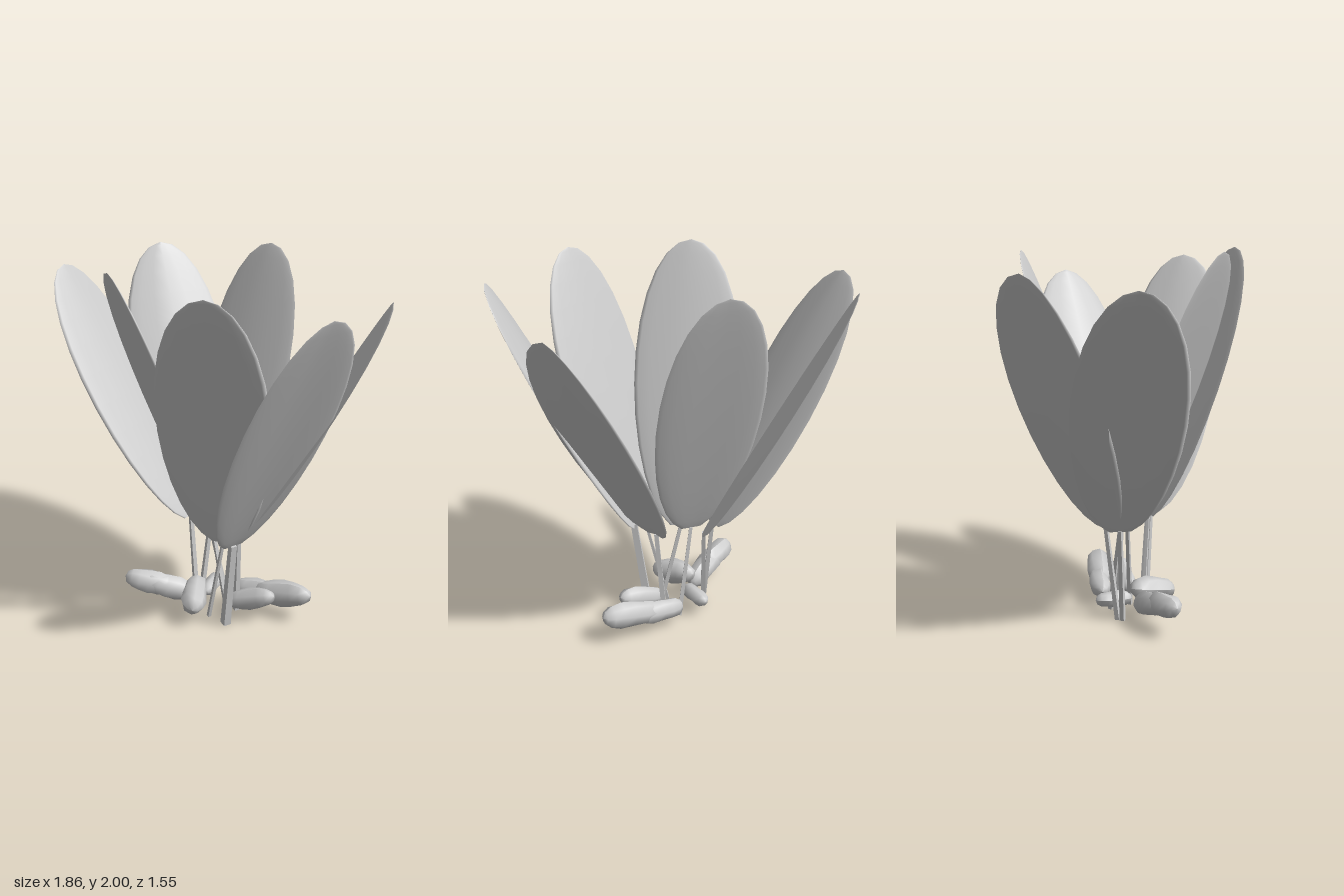
import * as THREE from 'three';

const material = new THREE.MeshStandardMaterial({ color: 0xcccccc, side: THREE.DoubleSide });
const flatMaterial = new THREE.MeshStandardMaterial({ color: 0xcccccc, flatShading: true });
const V = (p) => new THREE.Vector3(...p);

// Thin oval blade with a blunt foot, its sides bent outward from the plant's centre
function leafGeometry(length, halfWidth, bend) {
  const g = new THREE.SphereGeometry(1, 16, 14);
  const p = g.attributes.position;
  const foot = -0.975;
  for (let i = 0; i < p.count; i++) {
    const y = Math.max(p.getY(i), foot);
    const x = p.getX(i) * (1 + 0.08 * y);
    p.setXYZ(i, x * halfWidth, (y - foot) / (1 - foot) * length, p.getZ(i) * 0.018 + bend * Math.abs(x));
  }
  g.computeVertexNormals();
  return g;
}

function makeLeaf(base, tip, halfWidth, bend, twist) {
  const from = V(base);
  const along = V(tip).sub(from);
  const mesh = new THREE.Mesh(leafGeometry(along.length(), halfWidth, bend), material);
  along.normalize();
  const across = new THREE.Vector3(0, 1, 0).cross(along).normalize();
  const outward = across.clone().cross(along);
  mesh.quaternion.setFromRotationMatrix(new THREE.Matrix4().makeBasis(across, along, outward));
  mesh.rotateY(twist);
  mesh.position.copy(from);
  mesh.name = 'leaf';
  return mesh;
}

// Places an upright mesh so that it runs from one point to another
function span(mesh, from, to) {
  const a = V(from), b = V(to);
  mesh.position.copy(a).add(b).multiplyScalar(0.5);
  mesh.quaternion.setFromUnitVectors(new THREE.Vector3(0, 1, 0), b.sub(a).normalize());
  return mesh;
}

function makeStem(foot, top, radius) {
  const length = V(foot).distanceTo(V(top));
  const mesh = span(new THREE.Mesh(new THREE.CylinderGeometry(radius * 0.8, radius, length, 4), flatMaterial), foot, top);
  mesh.name = 'stem';
  return mesh;
}

// Knobbly tuber: a blunt, low-sided spindle with uneven swellings
function makeTuber(from, to, radius) {
  const half = V(from).distanceTo(V(to)) / 2;
  const g = new THREE.SphereGeometry(1, 8, 8);
  const p = g.attributes.position;
  for (let i = 0; i < p.count; i++) {
    const x = p.getX(i), y = p.getY(i), z = p.getZ(i);
    const angle = Math.atan2(z, x);
    const s = radius * (1 + 0.35 * y * y + 0.1 * Math.sin(angle * 2 + y * 4));
    p.setXYZ(i, x * s, y * half, z * s);
  }
  g.computeVertexNormals();
  const mesh = span(new THREE.Mesh(g, material), from, to);
  mesh.name = 'tuber';
  return mesh;
}

export function createModel() {
  const plant = new THREE.Group();
  plant.name = 'plant';

  // Leaf base, leaf tip, half width, bend, twist, stem foot, stem radius
  const shoots = [
    [[0.12, 0.525, 0.18], [0.16, 2.0, 0.71], 0.285, 0.01, 0, [0.02, 0.005, 0.11], 0.013],
    [[0.01, 0.525, 0.01], [-0.42, 2.0, 0.36], 0.29, 0.01, 0, [0.12, 0.005, 0.07], 0.016],
    [[-0.02, 0.525, -0.04], [0.2, 2.0, -0.51], 0.285, 0.01, 0, [0.09, 0.005, -0.06], 0.016],
    [[0.17, 0.525, 0.04], [0.92, 1.85, -0.03], 0.275, 0.05, 0, [0.15, 0.005, 0.0], 0.02],
    [[0.18, 0.525, 0.21], [0.74, 1.935, 0.66], 0.29, 0.02, 0, [0.13, 0.005, 0.16], 0.03],
    [[-0.14, 0.525, -0.09], [-0.925, 1.86, -0.3], 0.29, 0.02, 0, [-0.1, 0.005, -0.06], 0.018],
    [[-0.03, 0.525, -0.13], [-0.5, 1.92, -0.72], 0.29, 0.04, -0.12, [-0.08, 0.005, -0.08], 0.018],
  ];
  for (const [base, tip, halfWidth, bend, twist, foot, radius] of shoots) {
    const shoot = new THREE.Group();
    shoot.name = 'shoot';
    shoot.add(makeLeaf(base, tip, halfWidth, bend, twist), makeStem(foot, base, radius));
    plant.add(shoot);
  }

  // Tubers spreading just above the ground
  const tubers = [
    [[-0.475, 0.18, 0.1], [-0.2, 0.13, 0.06], 0.066],
    [[-0.38, 0.17, 0.09], [-0.09, 0.09, 0.03], 0.066],
    [[-0.08, 0.17, 0.0], [-0.03, 0.12, 0.27], 0.068],
    [[-0.03, 0.1, 0.02], [0.0, 0.1, -0.18], 0.045],
    [[0.11, 0.09, 0.06], [0.39, 0.18, 0.1], 0.058],
    [[0.11, 0.1, -0.1], [0.38, 0.12, -0.04], 0.06],
    [[0.24, 0.11, -0.06], [0.58, 0.17, 0.03], 0.07],
  ];
  for (const [from, to, radius] of tubers) plant.add(makeTuber(from, to, radius));

  return plant;
}
